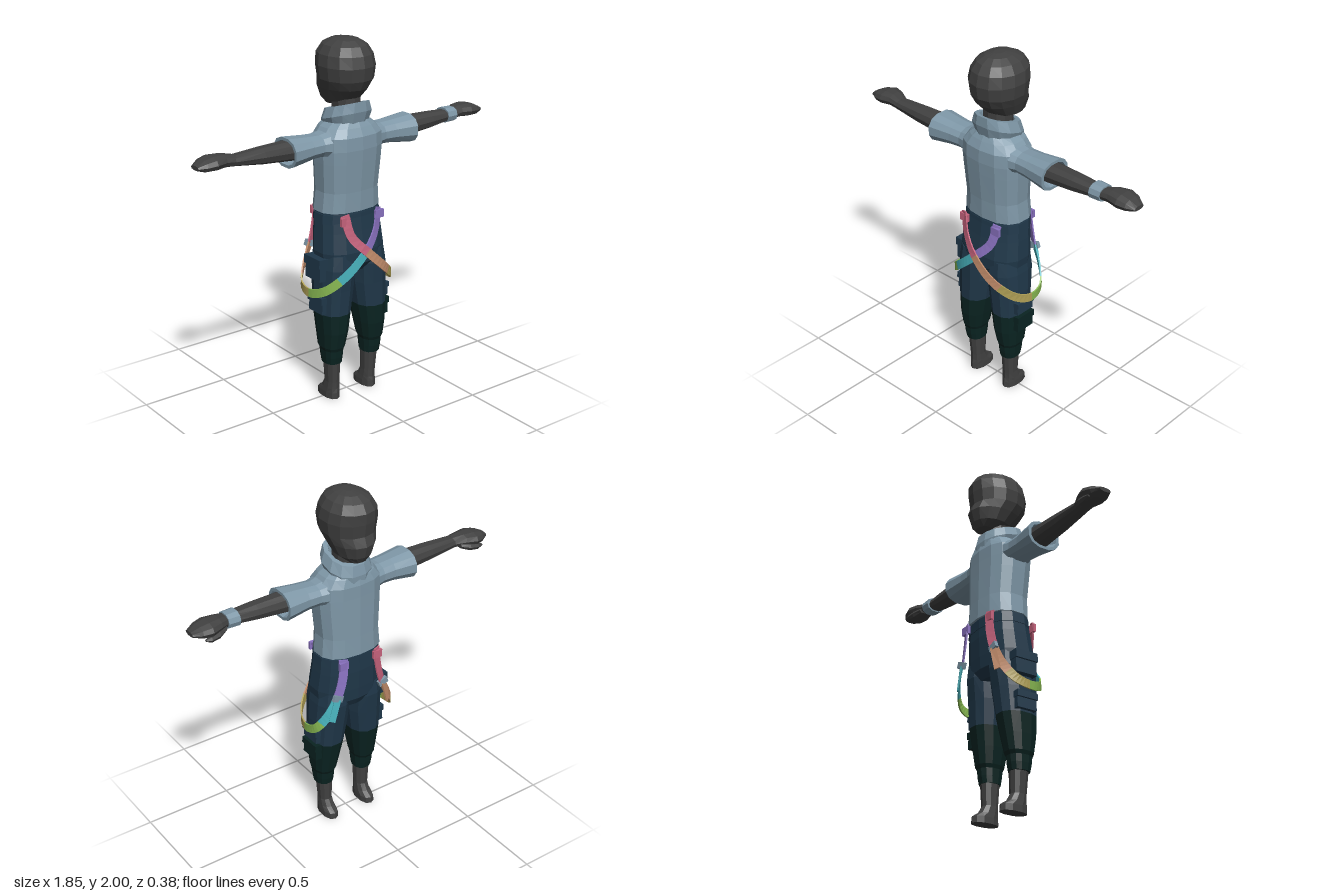
import * as THREE from 'three';

const mat = (name, color) => {
  const m = new THREE.MeshStandardMaterial({ color });
  m.name = name;
  return m;
};
const M = {
  skin: mat('charcoal', 0x414141),
  shirt: mat('blue grey', 0x7f98a8),
  pants: mat('navy', 0x20384a),
  cuff: mat('dark green', 0x0a2422),
  pink: mat('pink', 0xc8647e),
  orange: mat('orange', 0xc48e6c),
  yellow: mat('yellow', 0xb0a056),
  lime: mat('lime', 0x88b852),
  teal: mat('teal', 0x48b2bc),
  purple: mat('purple', 0x8a72c0),
};

// Faceted closed skin over rings of points; winding is set so faces point outward
function skin(rings) {
  const tris = [];
  const n = rings[0].length;
  const mid = (r) => r.reduce((a, p) => a.add(p), new THREE.Vector3()).divideScalar(n);
  const first = mid(rings[0]), last = mid(rings[rings.length - 1]);
  for (let i = 0; i < n; i++) {
    const j = (i + 1) % n;
    for (let k = 0; k < rings.length - 1; k++) {
      const a = rings[k], b = rings[k + 1];
      tris.push([a[i], b[i], b[j]], [a[i], b[j], a[j]]);
    }
    tris.push([first, rings[0][i], rings[0][j]]);
    tris.push([last, rings[rings.length - 1][j], rings[rings.length - 1][i]]);
  }
  let volume = 0;
  const c = new THREE.Vector3();
  for (const [p, q, r] of tris) volume += p.dot(c.crossVectors(q, r));
  const pts = tris.flatMap(([p, q, r]) => (volume < 0 ? [p, r, q] : [p, q, r]));
  const g = new THREE.BufferGeometry().setFromPoints(pts);
  g.computeVertexNormals();
  return g;
}

// Rounded-square ring perpendicular to the y or x axis
function ring(axis, [t, u, v, ru, rv], sides, power, side, tilt) {
  return Array.from({ length: sides }, (_, i) => {
    const a = ((i + 0.5) / sides) * Math.PI * 2;
    const f = (w) => Math.sign(w) * Math.abs(w) ** power;
    const p = u + ru * f(Math.cos(a)), z = v + rv * f(Math.sin(a));
    return axis === 'y'
      ? new THREE.Vector3(side * p, t + tilt * z, z)
      : new THREE.Vector3(side * t, p, z);
  });
}

export function createModel() {
  const model = new THREE.Group();
  model.name = 'figure';
  const add = (name, geo, material) => {
    const mesh = new THREE.Mesh(geo, material);
    mesh.name = name;
    model.add(mesh);
    return mesh;
  };
  const loft = (name, material, axis, rows, { sides = 12, power = 0.85, side = 1, tilt = 0 } = {}) =>
    add(name, skin(rows.map((r) => ring(axis, r, sides, power, side, tilt))), material);

  // Head: the face and chin lean towards -z
  loft('head', M.skin, 'y', [
    [1.64, 0, -0.1, 0.05, 0.045], [1.675, 0, -0.055, 0.095, 0.112], [1.74, 0, -0.033, 0.122, 0.152],
    [1.79, 0, -0.01, 0.14, 0.156], [1.86, 0, -0.01, 0.148, 0.166], [1.92, 0, -0.018, 0.138, 0.161],
    [1.965, 0, -0.018, 0.11, 0.132], [1.99, 0, -0.015, 0.068, 0.085], [2.0, 0, -0.012, 0.025, 0.035],
  ], { sides: 14, power: 0.95 });
  loft('neck', M.skin, 'y', [[1.54, 0, 0, 0.07, 0.075], [1.72, 0, -0.01, 0.075, 0.08]], { sides: 10 });

  // Shirt body and tilted roll collar
  loft('shirt', M.shirt, 'y', [
    [1.09, 0, -0.008, 0.187, 0.13], [1.2, 0, -0.005, 0.176, 0.13], [1.36, 0, 0.003, 0.188, 0.135],
    [1.43, 0, 0.006, 0.192, 0.137], [1.5, 0, 0.005, 0.188, 0.136], [1.545, 0, 0, 0.15, 0.12],
    [1.58, 0, 0, 0.1, 0.1],
  ], { sides: 14, power: 0.8 });
  loft('collar', M.shirt, 'y', [
    [1.53, 0, -0.01, 0.108, 0.115], [1.59, 0, -0.003, 0.13, 0.125], [1.645, 0, 0.002, 0.108, 0.118],
    [1.645, 0, 0.002, 0.085, 0.092], [1.6, 0, 0, 0.075, 0.08],
  ], { tilt: 0.3 });

  // Pelvis and waistband
  loft('trouserTop', M.pants, 'y', [
    [0.75, 0, 0.01, 0.15, 0.1], [0.8, 0, 0.014, 0.195, 0.132], [0.87, 0, 0.014, 0.203, 0.137],
    [0.98, 0, 0.003, 0.193, 0.131], [1.1, 0, -0.003, 0.18, 0.122],
  ], { sides: 14, power: 0.8 });
  loft('waistband', M.pants, 'y', [
    [1.03, 0, -0.002, 0.192, 0.128], [1.08, 0, -0.003, 0.187, 0.126],
  ], { sides: 14, power: 0.8 });

  for (const side of [1, -1]) {
    // Sleeve with an open, thick cuff
    loft('sleeve', M.shirt, 'x', [
      [0.09, 1.46, 0.005, 0.085, 0.11], [0.2, 1.46, 0.005, 0.06, 0.084], [0.27, 1.46, 0.008, 0.064, 0.086],
      [0.4, 1.457, 0.01, 0.08, 0.102], [0.4, 1.457, 0.01, 0.064, 0.084], [0.34, 1.46, 0.01, 0.05, 0.065],
    ], { side });
    // Arm, hand and thumb
    loft('arm', M.skin, 'x', [
      [0.32, 1.465, 0.01, 0.057, 0.064], [0.55, 1.472, 0.012, 0.044, 0.054], [0.72, 1.478, 0.012, 0.028, 0.043],
    ], { side, sides: 10 });
    loft('hand', M.skin, 'x', [
      [0.71, 1.478, 0.012, 0.029, 0.042], [0.77, 1.485, -0.002, 0.034, 0.058], [0.83, 1.483, -0.006, 0.037, 0.074],
      [0.88, 1.478, -0.004, 0.031, 0.062], [0.925, 1.474, 0, 0.012, 0.035],
    ], { side, sides: 10 });
    loft('thumb', M.skin, 'x', [
      [0.74, 1.462, -0.03, 0.014, 0.02], [0.79, 1.45, -0.05, 0.02, 0.022],
      [0.84, 1.444, -0.06, 0.016, 0.018], [0.87, 1.446, -0.062, 0.006, 0.008],
    ], { side, sides: 6 });

    // Trouser leg, dark gathered lower leg, bare ankle and foot
    loft('trouserLeg', M.pants, 'y', [
      [0.52, 0.12, 0.025, 0.089, 0.11], [0.66, 0.11, 0.02, 0.1, 0.12], [0.78, 0.103, 0.016, 0.1, 0.132],
      [0.86, 0.1, 0.014, 0.09, 0.125],
    ], { side });
    loft('lowerTrouserLeg', M.cuff, 'y', [
      [0.22, 0.13, 0.035, 0.05, 0.058], [0.26, 0.131, 0.035, 0.054, 0.066], [0.3, 0.131, 0.035, 0.057, 0.07],
      [0.32, 0.131, 0.034, 0.065, 0.08], [0.41, 0.126, 0.033, 0.077, 0.097], [0.52, 0.12, 0.025, 0.089, 0.11],
    ], { side });
    loft('foot', M.skin, 'y', [
      [0, 0.125, 0, 0.041, 0.08], [0.035, 0.125, 0.001, 0.041, 0.078], [0.06, 0.125, 0.018, 0.039, 0.056],
      [0.1, 0.125, 0.03, 0.037, 0.044], [0.24, 0.128, 0.033, 0.044, 0.052],
    ], { side, sides: 10 });
  }
  loft('wristband', M.shirt, 'x', [
    [0.66, 1.478, 0.008, 0.042, 0.056], [0.725, 1.478, 0.008, 0.04, 0.053],
  ], { sides: 10 });

  // Cargo pockets with overhanging flaps
  const pocket = (x, y, z, h, d, material) => {
    const s = Math.sign(x);
    const body = add('pocket', new THREE.BoxGeometry(0.05, h, d), material);
    body.position.set(x, y, z);
    const flap = add('pocketFlap', new THREE.BoxGeometry(0.06, h * 0.4, d * 1.06), material);
    flap.position.set(x + s * 0.003, y + h * 0.35, z);
    body.rotation.z = flap.rotation.z = s * 0.06;
  };
  pocket(-0.208, 0.78, 0.01, 0.12, 0.13, M.pants);
  pocket(-0.198, 0.575, 0.02, 0.09, 0.12, M.pants);
  pocket(0.2, 0.475, 0.02, 0.09, 0.12, M.cuff);
  pocket(0.198, 0.575, 0.02, 0.07, 0.12, M.pants);

  // Flat ribbon whose broad face looks away from the body
  const ribbon = (name, curve, t0, t1, steps, width, material) => {
    const rings = [];
    for (let i = 0; i <= steps; i++) {
      const t = t0 + ((t1 - t0) * i) / steps;
      const p = curve.getPoint(t);
      const out = new THREE.Vector3(p.x, 0, p.z * 2).normalize();
      const across = new THREE.Vector3().crossVectors(curve.getTangent(t), out).normalize();
      rings.push([[-1, -1], [1, -1], [1, 1], [-1, 1]].map(([w, o]) =>
        p.clone().addScaledVector(across, (w * width) / 2).addScaledVector(out, o * 0.004)));
    }
    add(name, skin(rings), material);
  };

  // Rainbow braces: cross in front, loop round the thigh, rise to the back waist
  const path = [
    [-0.115, 1.09, 0.13], [-0.085, 0.97, 0.148], [0, 0.875, 0.178], [0.125, 0.76, 0.168], [0.225, 0.675, 0.1],
    [0.26, 0.65, 0.01], [0.25, 0.675, -0.07], [0.2, 0.76, -0.118], [0.145, 0.87, -0.134],
    [0.112, 1.0, -0.138], [0.108, 1.09, -0.132],
  ];
  const bounds = [0, 2, 3.3, 5, 6.5, 8, 10];
  const rainbow = [M.pink, M.orange, M.yellow, M.lime, M.teal, M.purple];
  for (const side of [1, -1]) {
    const colours = side > 0 ? rainbow : [...rainbow].reverse();
    const lift = side > 0 ? 0.006 : -0.004;
    const curve = new THREE.CatmullRomCurve3(path.map(([x, y, z]) =>
      new THREE.Vector3(side * x, y, z + (z > 0.12 ? lift : 0))));
    colours.forEach((m, i) => ribbon('brace', curve, bounds[i] / 10, bounds[i + 1] / 10, 7, 0.048, m));
    // Loose strap end and buckle at the back
    const tail = new THREE.LineCurve3(
      new THREE.Vector3(side * 0.15, 0.86, -0.142), new THREE.Vector3(side * 0.185, 0.73, -0.138));
    ribbon('braceTail', tail, 0, 1, 1, 0.035, colours[4]);
    const buckle = add('buckle', new THREE.BoxGeometry(0.058, 0.035, 0.02), M.shirt);
    buckle.position.set(side * 0.147, 0.865, -0.138);
    buckle.rotation.z = side * 0.35;
    // Clips at the waist
    for (const [x, z, m] of [[-0.113, 0.136, colours[0]], [0.108, -0.138, colours[5]]]) {
      add('braceClip', new THREE.BoxGeometry(0.056, 0.045, 0.016), m).position.set(side * x, 1.055, z);
    }
  }
  return model;
}
